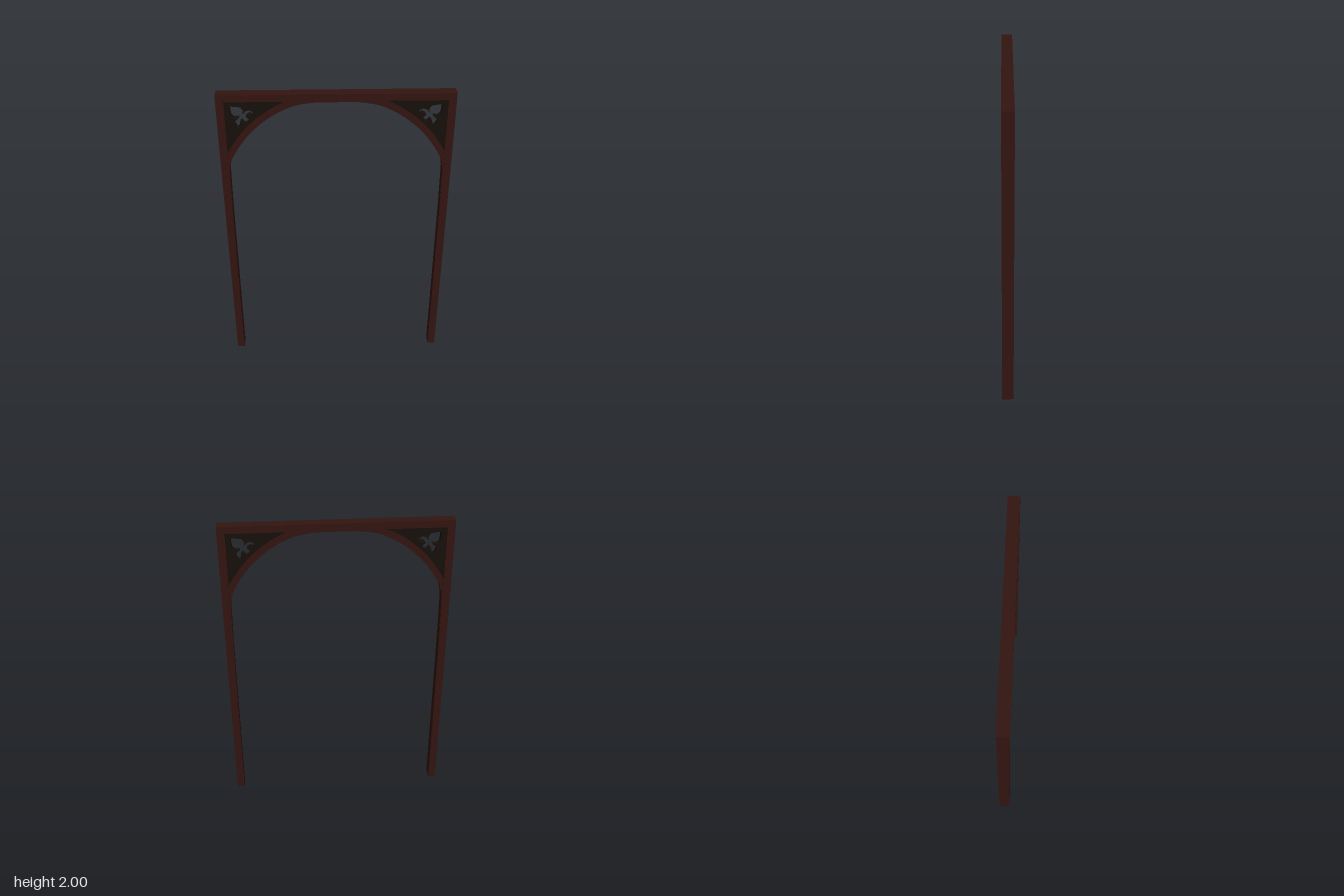
import * as THREE from 'three';

const V = (x, y) => new THREE.Vector2(x, y);

// Extrude a flat outline, centred on z = 0
function slab(shape, depth, material, name) {
  const geo = new THREE.ExtrudeGeometry(shape, { depth, bevelEnabled: false, curveSegments: 8 });
  geo.translate(0, 0, -depth / 2);
  const mesh = new THREE.Mesh(geo, material);
  mesh.name = name;
  return mesh;
}

export function createModel() {
  const model = new THREE.Group();
  model.name = 'archway';
  const wood = new THREE.MeshStandardMaterial({ color: 0x32140f });
  const darkWood = new THREE.MeshStandardMaterial({ color: 0x17100c });

  // Outer frame: two posts and a top beam
  const W = 0.727, inX = 0.678, inY = 1.955;
  const frame = new THREE.Shape([
    V(-W, 0), V(-inX, 0), V(-inX, inY), V(inX, inY), V(inX, 0), V(W, 0), V(W, 2), V(-W, 2),
  ]);
  model.add(slab(frame, 0.074, wood, 'frame'));

  // Inner curve of the arch, from the post up to the crown
  const inner = new THREE.SplineCurve([
    V(0.674, 1.48), V(0.654, 1.565), V(0.59, 1.67), V(0.51, 1.765),
    V(0.39, 1.86), V(0.257, 1.924), V(0.125, 1.946),
  ]).getPoints(18);
  // Outer curve, offset along the normal and kept inside the frame
  const outer = inner.map((p, i) => {
    const t = inner[Math.min(i + 1, inner.length - 1)].clone().sub(inner[Math.max(i - 1, 0)]).normalize();
    return V(Math.min(p.x + t.y * 0.04, 0.7), Math.min(p.y - t.x * 0.04, 1.97));
  });

  // Curved rib across the whole opening
  const mirror = (pts) => pts.map((p) => V(-p.x, p.y)).reverse();
  const half = [V(0.677, 1.2), ...inner];
  const outerHalf = [V(0.7, 1.2), ...outer];
  const rib = new THREE.Shape([...half, ...mirror(half), ...mirror(outerHalf).reverse(), ...outerHalf.slice().reverse()]);
  model.add(slab(rib, 0.062, wood, 'archRib'));

  // Lily-shaped cut-out: (distance from corner along diagonal, half width)
  const lily = [
    [0.053, 0], [0.08, 0.024], [0.106, 0.043], [0.13, 0.038], [0.147, 0.017],
    [0.143, 0.042], [0.153, 0.064], [0.175, 0.073], [0.191, 0.066], [0.192, 0.05],
    [0.178, 0.046], [0.171, 0.032], [0.172, 0.018], [0.187, 0.021], [0.201, 0.019], [0.206, 0],
  ];
  const lilyLoop = [...lily, ...lily.slice(1, -1).reverse().map(([u, v]) => [u, -v])];

  // Pierced corner panels
  for (const side of [1, -1]) {
    const mid = outer.map((p, i) => p.clone().lerp(inner[i], 0.3));
    const panel = new THREE.Shape([V(0.7, 1.97), ...mid].map((p) => V(p.x * side, p.y)));
    panel.holes.push(new THREE.Path(lilyLoop.map(([u, v]) =>
      V(side * (0.685 - (u + v) * Math.SQRT1_2), 1.957 - (u - v) * Math.SQRT1_2))));
    model.add(slab(panel, 0.04, darkWood, side > 0 ? 'leftCornerPanel' : 'rightCornerPanel'));
  }
  return model;
}
